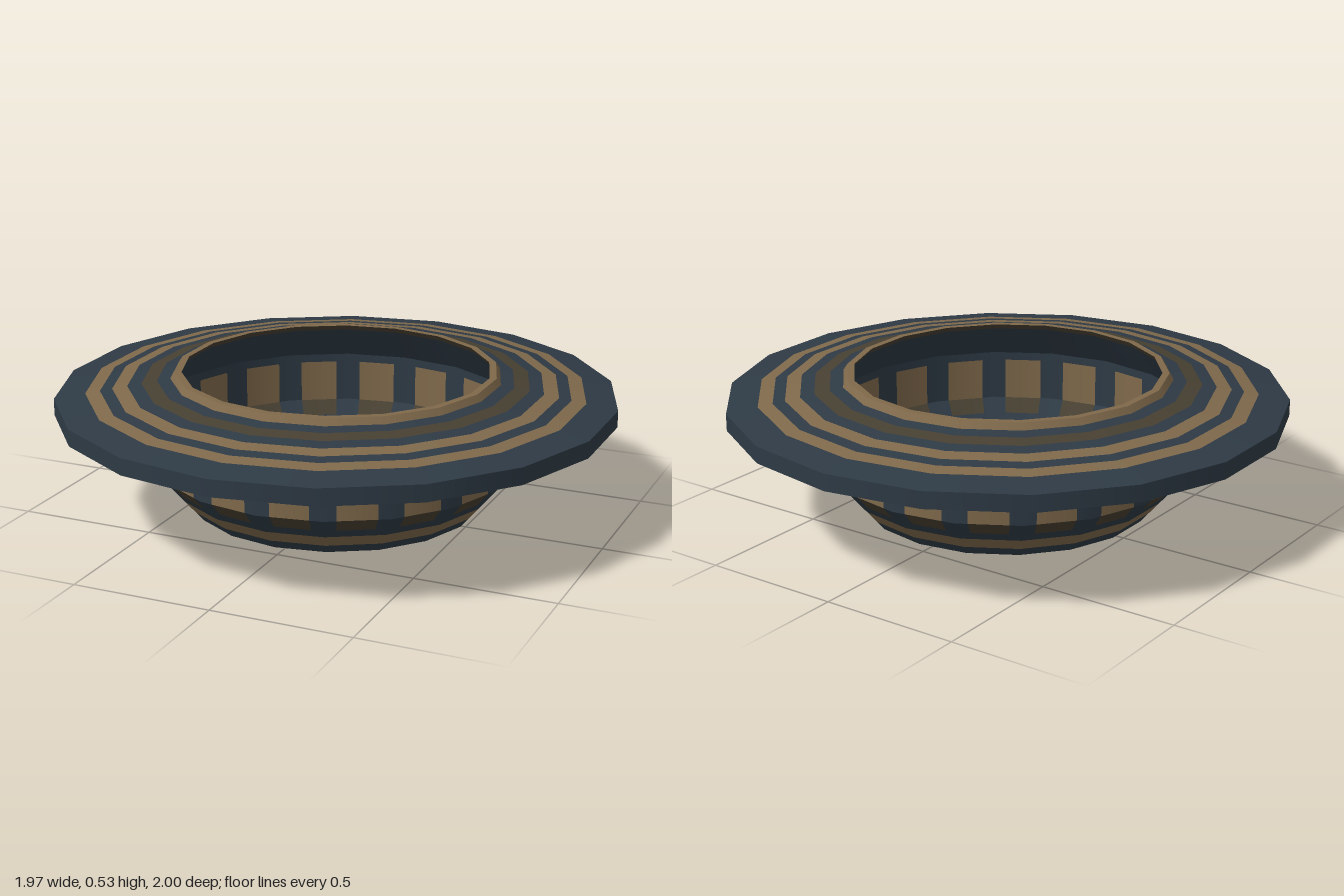
import * as THREE from 'three';

const SIDES = 18;
const STEP = (Math.PI * 2) / SIDES;

const mat = (name, color) => new THREE.MeshStandardMaterial({ name, color, side: THREE.DoubleSide });

// Ring of quads between profile points p and q ([radius, y]);
// u0..u1 is the share of each facet's width that is covered.
function ringGeometry(p, q, u0, u1) {
  const pos = [], nor = [], idx = [];
  const n = new THREE.Vector2(q[1] - p[1], p[0] - q[0]).normalize();
  const add = (k, u, [r, y]) => {
    const a = k * STEP, b = a + STEP, m = a + u * STEP;
    pos.push(
      r * THREE.MathUtils.lerp(Math.sin(a), Math.sin(b), u), y,
      r * THREE.MathUtils.lerp(Math.cos(a), Math.cos(b), u));
    nor.push(n.x * Math.sin(m), n.y, n.x * Math.cos(m));
  };
  for (let k = 0; k < SIDES; k++) {
    const i = k * 4;
    add(k, u0, p); add(k, u1, p); add(k, u1, q); add(k, u0, q);
    idx.push(i, i + 1, i + 2, i, i + 2, i + 3);
  }
  const g = new THREE.BufferGeometry();
  g.setAttribute('position', new THREE.Float32BufferAttribute(pos, 3));
  g.setAttribute('normal', new THREE.Float32BufferAttribute(nor, 3));
  g.setIndex(idx);
  return g;
}

export function createModel() {
  const navy = mat('navy', 0x2e3a45);
  const brown = mat('brown', 0x7f694b);
  const olive = mat('olive', 0x474032);
  const blue = mat('blue', 0x5aa0c4);

  const model = new THREE.Group();
  const part = (name) => {
    const g = new THREE.Group();
    g.name = name;
    model.add(g);
    return g;
  };
  const ring = (group, name, material, p, q, u0 = 0, u1 = 1) => {
    const m = new THREE.Mesh(ringGeometry(p, q, u0, u1), material);
    m.name = name;
    group.add(m);
  };

  // Striped brim, sloping gently up towards the rim
  const brim = part('brim');
  const slope = (r) => [r, 0.445 + ((1 - r) / 0.41) * 0.062];
  ring(brim, 'brimEdge', navy, [1, 0.385], [1, 0.445]);
  const radii = [1, 0.89, 0.838, 0.795, 0.742, 0.692, 0.637, 0.59];
  const stripes = [navy, brown, navy, brown, navy, olive, navy];
  stripes.forEach((m, i) => ring(brim, 'brimStripe', m, slope(radii[i]), slope(radii[i + 1])));

  // Flat underside with one stripe
  ring(brim, 'brimUnderside', navy, [0.66, 0.385], [0.71, 0.385]);
  ring(brim, 'undersideStripe', brown, [0.71, 0.385], [0.81, 0.385]);
  ring(brim, 'brimUnderside', navy, [0.81, 0.385], [1, 0.385]);

  // Raised rim and the throat below it
  const rim = part('rim');
  ring(rim, 'rimSide', brown, [0.59, 0.507], [0.575, 0.53]);
  ring(rim, 'rimTop', brown, [0.575, 0.53], [0.55, 0.53]);
  ring(rim, 'throatStripe', olive, [0.55, 0.53], [0.565, 0.51]);
  ring(rim, 'throat', navy, [0.565, 0.51], [0.66, 0.385]);

  // Bowl wall: one window panel per facet, running on to the chamfer
  const bowl = part('bowl');
  const chamfer = (y) => [0.52 + ((y - 0.035) / 0.165) * 0.14, y];
  const U0 = 0.2, U1 = 0.8;
  const panelRow = (name, material, p, q) => {
    ring(bowl, 'wallPost', navy, p, q, 0, U0);
    ring(bowl, name, material, p, q, U0, U1);
    ring(bowl, 'wallPost', navy, p, q, U1, 1);
  };
  ring(bowl, 'wallTop', navy, [0.66, 0.355], [0.66, 0.385]);
  panelRow('panel', brown, [0.66, 0.2], [0.66, 0.355]);
  panelRow('panelFoot', olive, chamfer(0.15), chamfer(0.2));
  ring(bowl, 'lowerWall', navy, chamfer(0.117), chamfer(0.15));
  ring(bowl, 'lowerStripe', brown, chamfer(0.07), chamfer(0.117));
  ring(bowl, 'baseBand', navy, chamfer(0.035), chamfer(0.07));

  // Blue floor: rises to a ridge, then dips towards the centre
  const floor = part('floor');
  ring(floor, 'outerFloor', blue, [0.285, 0.15], [0.52, 0.035]);
  ring(floor, 'innerFloor', blue, [0.1, 0.09], [0.285, 0.15]);

  // Small hollow knob at the centre
  const knob = part('knob');
  ring(knob, 'knobCollar', olive, [0.085, 0.06], [0.1, 0.09]);
  ring(knob, 'knobSide', brown, [0.072, 0.022], [0.085, 0.06]);
  ring(knob, 'knobTaper', olive, [0.05, 0], [0.072, 0.022]);
  ring(knob, 'knobBase', brown, [0, 0], [0.05, 0]);

  return model;
}
